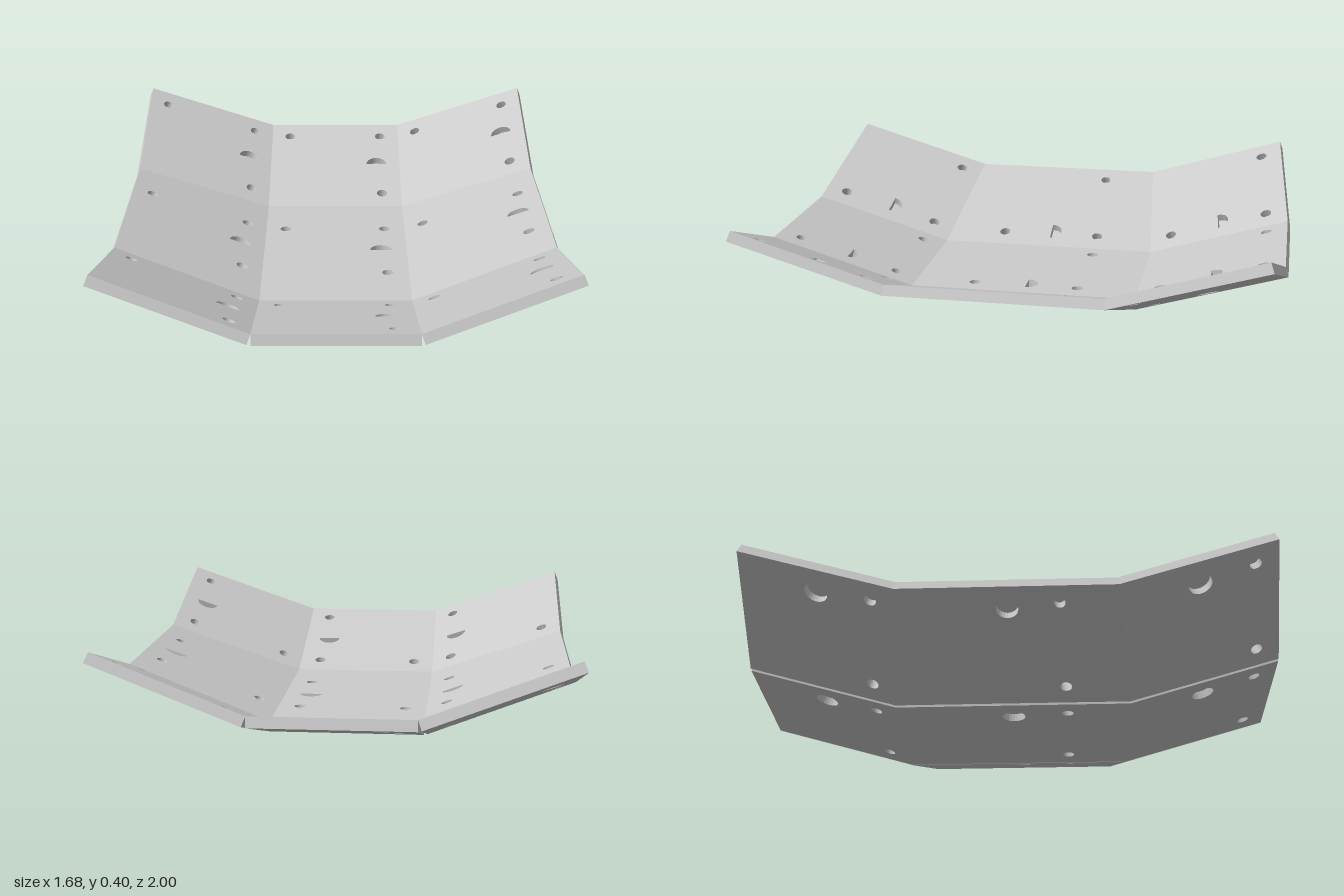
import * as THREE from 'three';

// Cross-section along z, on the upper (0) and lower (1) skin
const Z = [[-0.988, -0.435, 0.435, 0.988], [-1, -0.44, 0.44, 1]];
const Y = [[0.203, 0.038, 0.038, 0.203], [0.165, 0, 0, 0.165]];
// Inner and outer edge of a raised side column, on each skin: distance from the middle and rise
const SIDE_X = [[0.287, 0.825], [0.3, 0.84]];
const SIDE_RISE = [[0, 0.197], [0.003, 0.2]];
const WIDTH = 0.574;

// Corner of a panel: column -1..1, edge 0 (-x) or 1 (+x), row line 0..3, skin 0 or 1
function corner(col, edge, line, skin) {
  const z = Z[skin][line], y = Y[skin][line];
  if (col === 0) return new THREE.Vector3(edge ? 0.287 : -0.287, y, z);
  const outer = (col > 0) === (edge === 1) ? 1 : 0;
  return new THREE.Vector3(col * SIDE_X[skin][outer], y + SIDE_RISE[skin][outer], z - Math.sign(z) * 0.05 * outer);
}

// Outline of a round or half-round hole in panel coordinates
function holeLoop(s, t, r, length, half = false) {
  const pts = [], n = half ? 14 : 24;
  for (let i = 0; i < (half ? n + 1 : n); i++) {
    const a = half ? Math.PI * (1 + i / n) : (2 * Math.PI * i) / n;
    pts.push(new THREE.Vector2(s + (r / WIDTH) * Math.cos(a), t + (r / length) * Math.sin(a)));
  }
  return pts;
}

function panelGeometry(col, row) {
  const c = [0, 1].map((skin) => [0, 1].map((e) => [0, 1].map((l) => corner(col, e, row + l, skin))));
  // Panel coordinates (s across, t along, d depth) to space
  const place = (p, d) => {
    const skins = c.map((k) => {
      const a = k[0][0].clone().lerp(k[1][0], p.x);
      return a.lerp(k[0][1].clone().lerp(k[1][1], p.x), p.y);
    });
    return skins[0].lerp(skins[1], d);
  };
  const out = [];
  const tri = (...v) => v.forEach((p) => out.push(p.x, p.y, p.z));
  const cap = (loop, holes, d, up) => {
    const pts = [loop, ...holes].flat();
    for (const [i, j, k] of THREE.ShapeUtils.triangulateShape(loop, holes)) {
      const v = [i, j, k].map((n) => place(pts[n], d));
      if (up) v.reverse();
      tri(...v);
    }
  };
  const wall = (a, b, d0, d1) => {
    const aT = place(a, d0), bT = place(b, d0), aB = place(a, d1), bB = place(b, d1);
    tri(aT, bT, bB);
    tri(aT, bB, aB);
  };
  const holeWall = (loop, d0, d1) => loop.forEach((p, i) => wall(loop[(i + 1) % loop.length], p, d0, d1));

  // Holes: two pins and a half-round pocket above, a pin and a round pocket below, one bore through
  const length = row === 1 ? 0.87 : 0.577;
  const dt = 0.202 / length, lowS = 0.14, highS = 0.855;
  const pin = (s, t) => holeLoop(s, t, 0.022, length);
  const bore = pin(highS, 0.5 + dt);
  const above = [pin(lowS, 0.5 - dt), pin(highS, 0.5 - dt), holeLoop(0.82, 0.5, 0.044, length, true)];
  const below = [pin(lowS, 0.5 + dt), holeLoop(0.18, 0.5, 0.043, length)];

  // Skins
  const rect = [[0, 0], [1, 0], [1, 1], [0, 1]].map(([x, y]) => new THREE.Vector2(x, y));
  cap(rect, [...above, bore], 0, true);
  cap(rect, [...below, bore], 1, false);
  // Outer edges, leaving the folds between rows joined
  wall(rect[1], rect[2], 0, 1);
  wall(rect[3], rect[0], 0, 1);
  if (row === 0) wall(rect[0], rect[1], 0, 1);
  if (row === 2) wall(rect[2], rect[3], 0, 1);
  // Pockets and bore
  holeWall(bore, 0, 1);
  above.forEach((h) => { holeWall(h, 0, 0.78); cap(h, [], 0.78, true); });
  below.forEach((h) => { holeWall(h, 0.22, 1); cap(h, [], 0.22, false); });

  const g = new THREE.BufferGeometry();
  g.setAttribute('position', new THREE.Float32BufferAttribute(out, 3));
  g.computeVertexNormals();
  return g;
}

export function createModel() {
  const model = new THREE.Group();
  model.name = 'facetedDish';
  const material = new THREE.MeshStandardMaterial({ color: 0xcccccc, flatShading: true });
  const columns = ['rightColumn', 'middleColumn', 'leftColumn'];
  const rows = ['backPanel', 'centrePanel', 'frontPanel'];
  columns.forEach((name, i) => {
    const column = new THREE.Group();
    column.name = name;
    rows.forEach((rowName, row) => {
      const panel = new THREE.Mesh(panelGeometry(i - 1, row), material);
      panel.name = rowName;
      column.add(panel);
    });
    model.add(column);
  });
  return model;
}
